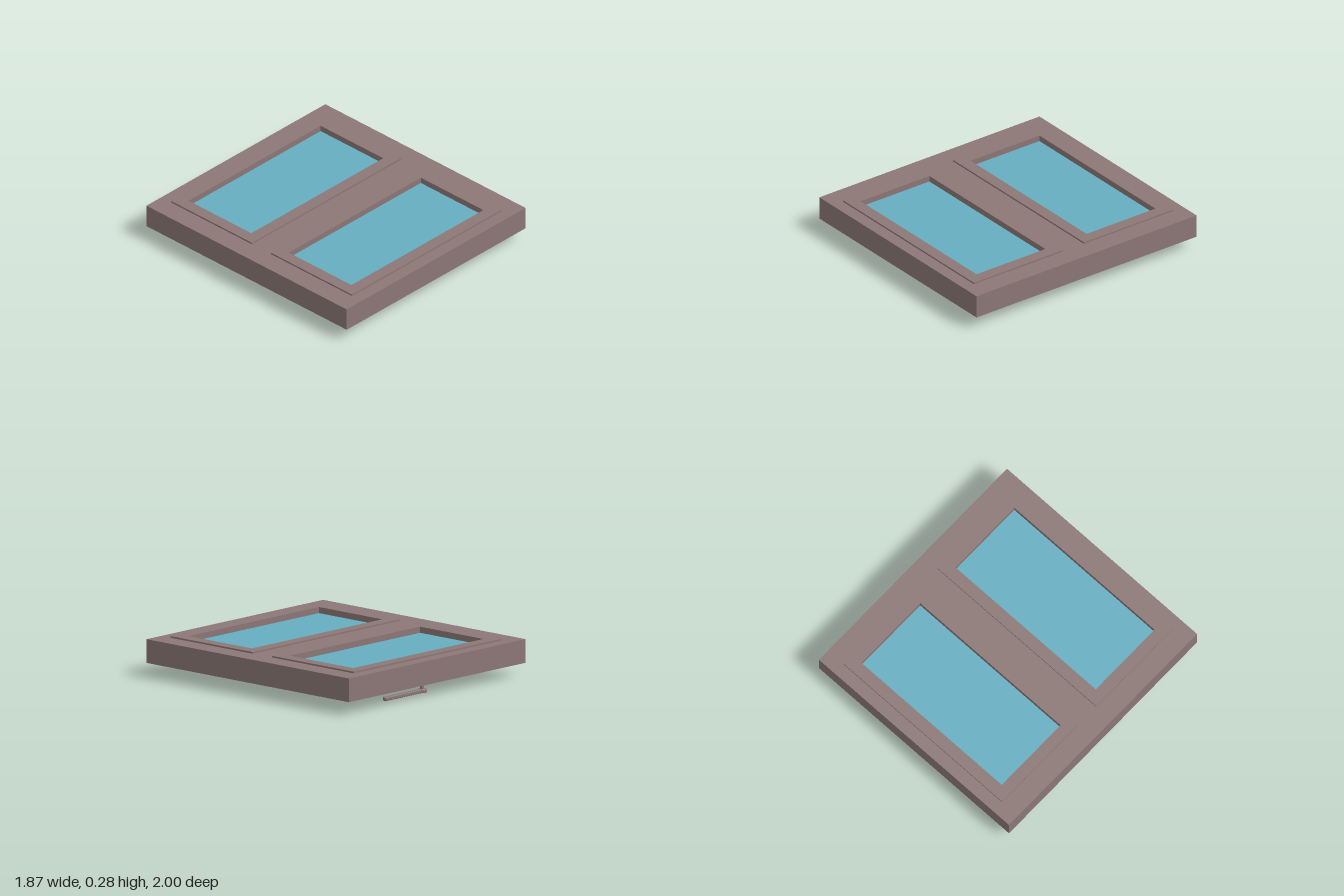
import * as THREE from 'three';

const wood = new THREE.MeshStandardMaterial({ color: 0x8b7776 });
const pane = new THREE.MeshStandardMaterial({ color: 0x66adc1 });

const BOTTOM = 0.095, LEDGE = 0.15, TOP = 0.27, SASH_TOP = 0.282;
const SASH = { w: 1.56, d: 0.81 };     // outer size of a sash
const OPENING = { w: 1.38, d: 0.625 }; // clear opening of a sash
const CENTERS = [-0.5, 0.5];           // z of the two windows

function add(parent, name, geometry, material = wood) {
  const mesh = new THREE.Mesh(geometry, material);
  mesh.name = name;
  parent.add(mesh);
  return mesh;
}

function rect(path, w, d, cy = 0) {
  path.moveTo(-w / 2, cy - d / 2);
  path.lineTo(w / 2, cy - d / 2);
  path.lineTo(w / 2, cy + d / 2);
  path.lineTo(-w / 2, cy + d / 2);
  path.closePath();
  return path;
}

// Horizontal slab between two heights, with rectangular openings
function slab(w, d, hole, centers, y0, y1) {
  const shape = rect(new THREE.Shape(), w, d);
  for (const c of centers) shape.holes.push(rect(new THREE.Path(), hole.w, hole.d, c));
  return new THREE.ExtrudeGeometry(shape, { depth: y1 - y0, bevelEnabled: false })
    .rotateX(-Math.PI / 2).translate(0, y0, 0);
}

// Round hub with a straight arm, softly bevelled
function leverGeometry() {
  const bevel = 0.007, r = 0.035 - bevel, half = 0.02 - bevel, end = 0.405 - bevel;
  const a = Math.asin(half / r);
  const shape = new THREE.Shape();
  shape.absarc(0, 0, r, a, Math.PI * 2 - a, false);
  shape.lineTo(end - half, -half);
  shape.absarc(end - half, 0, half, -Math.PI / 2, Math.PI / 2, false);
  shape.closePath();
  return new THREE.ExtrudeGeometry(shape, {
    depth: 0.028 - 2 * bevel, bevelThickness: bevel, bevelSize: bevel, bevelSegments: 3, curveSegments: 16,
  }).rotateX(-Math.PI / 2).translate(0, bevel, 0);
}

function createHandle() {
  const handle = new THREE.Group();
  handle.name = 'handle';
  add(handle, 'handlePlate', new THREE.BoxGeometry(0.295, 0.032, 0.04)).position.y = 0.081;
  add(handle, 'handleStem', new THREE.CylinderGeometry(0.015, 0.015, 0.05, 20)).position.y = 0.045;
  add(handle, 'handleLever', leverGeometry());
  return handle;
}

export function createModel() {
  const model = new THREE.Group();
  model.name = 'doubleWindow';

  // Fixed frame: lower ledge with the clear openings, upper part with wider seats for the sashes
  add(model, 'frameLedge', slab(1.87, 2, OPENING, CENTERS, BOTTOM, LEDGE));
  add(model, 'frame', slab(1.87, 2, SASH, CENTERS, LEDGE, TOP));

  for (const z of CENTERS) {
    const window = new THREE.Group();
    window.name = z < 0 ? 'backWindow' : 'frontWindow';
    window.position.z = z;
    add(window, 'sash', slab(SASH.w, SASH.d, OPENING, [0], LEDGE, SASH_TOP));
    add(window, 'glass', new THREE.BoxGeometry(OPENING.w, 0.04, OPENING.d), pane).position.y = 0.217;

    // Handle under the rear rail of each sash
    const handle = createHandle();
    handle.position.z = -0.35;
    window.add(handle);
    model.add(window);
  }
  return model;
}
